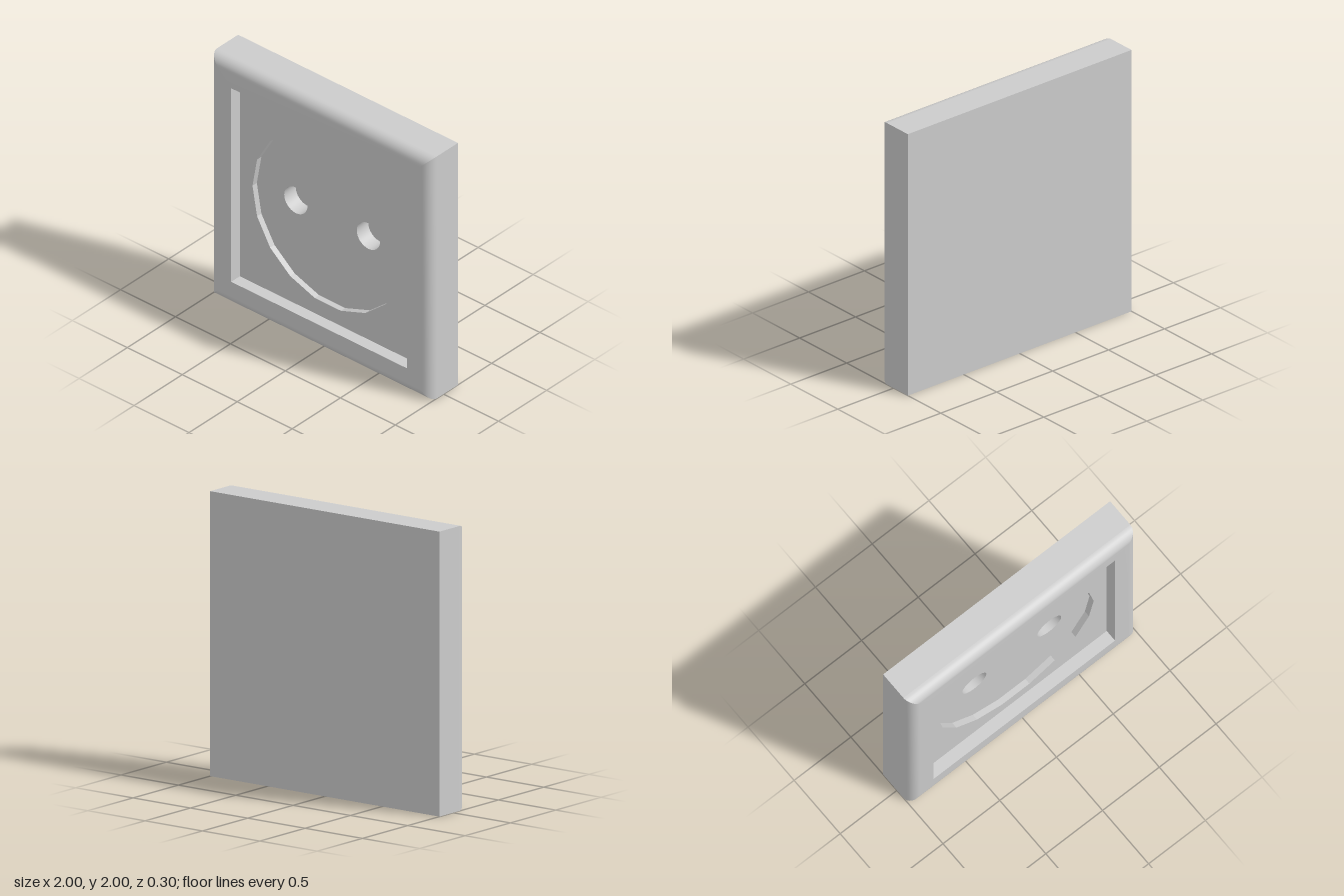
import * as THREE from 'three';
import { toCreasedNormals } from 'three/addons/utils/BufferGeometryUtils.js';

const BACK = -0.15, FRONT = 0.15, PANEL = 0.06, DIAL = 0.015, HOLE_FLOOR = -0.105;
const HOLE_X = 0.33, HOLE_Y = 0.015, HOLE_R = 0.106;

// One mitred side of the frame: profile of [half-size, z] swept along the bottom edge
function mitredStrip(profile) {
  const pos = [], idx = [];
  profile.forEach(([r, z], i) => {
    pos.push(-r, -r, z, r, -r, z);
    if (i > 0) {
      const a = 2 * i - 2;
      idx.push(a, a + 1, a + 3, a, a + 3, a + 2);
    }
  });
  const g = new THREE.BufferGeometry();
  g.setAttribute('position', new THREE.Float32BufferAttribute(pos, 3));
  g.setIndex(idx);
  g.computeVertexNormals();
  return g;
}

// Regular polygon outline
function ring(Type, r, sides, cx = 0, cy = 0) {
  const pts = [];
  for (let i = 0; i < sides; i++) {
    const a = (i / sides) * Math.PI * 2;
    pts.push(new THREE.Vector2(cx + r * Math.cos(a), cy + r * Math.sin(a)));
  }
  return new Type(pts);
}

function square(h) {
  return new THREE.Shape([[-h, -h], [h, -h], [h, h], [-h, h]].map(([x, y]) => new THREE.Vector2(x, y)));
}

// Slab with cut-outs between two depths
function slab(shape, z0, z1) {
  const g = new THREE.ExtrudeGeometry(shape, { depth: z1 - z0, bevelEnabled: false });
  return toCreasedNormals(g.translate(0, 0, z0), 0.3);
}

export function createModel() {
  const grey = new THREE.MeshStandardMaterial({ color: 0xcccccc });
  grey.name = 'light grey plastic';
  const model = new THREE.Group();
  model.name = 'wallSocket';
  const body = new THREE.Group();
  body.name = 'socketBody';
  body.position.y = 1;
  model.add(body);

  const add = (name, geometry, parent = body) => {
    const m = new THREE.Mesh(geometry, grey);
    m.name = name;
    parent.add(m);
    return m;
  };

  // Frame profile: flat outer wall, rounded shoulder with flat face, inner wall
  const shoulder = [];
  for (let i = 0; i <= 8; i++) {
    const a = (i / 8) * Math.PI / 2;
    shoulder.push([0.92 + 0.08 * Math.cos(a), 0.07 + 0.08 * Math.sin(a)]);
  }
  shoulder.push([0.8, FRONT]);
  const strips = {
    OuterWall: mitredStrip([[1, BACK], [1, 0.07]]),
    RoundedFace: mitredStrip(shoulder),
    InnerWall: mitredStrip([[0.8, FRONT], [0.8, PANEL]]),
  };
  ['bottom', 'left', 'top', 'right'].forEach((side, i) => {
    for (const part in strips) add(side + part, strips[part]).rotation.z = i * Math.PI / 2;
  });

  // Square panel with a faceted round opening
  const panel = square(0.8);
  panel.holes.push(ring(THREE.Path, 0.685, 18));
  add('panel', slab(panel, DIAL, PANEL));

  // Recessed dial with two pin holes
  const dial = ring(THREE.Shape, 0.685, 18);
  for (const s of [-1, 1]) {
    dial.holes.push(ring(THREE.Path, HOLE_R, 32, s * HOLE_X, HOLE_Y));
    const floor = add(s < 0 ? 'rightHoleFloor' : 'leftHoleFloor', new THREE.CircleGeometry(HOLE_R, 32));
    floor.position.set(s * HOLE_X, HOLE_Y, HOLE_FLOOR);
  }
  add('dial', slab(dial, HOLE_FLOOR, DIAL));

  // Flat back
  const back = add('backPlate', new THREE.PlaneGeometry(2, 2));
  back.rotation.y = Math.PI;
  back.position.z = BACK;

  return model;
}
